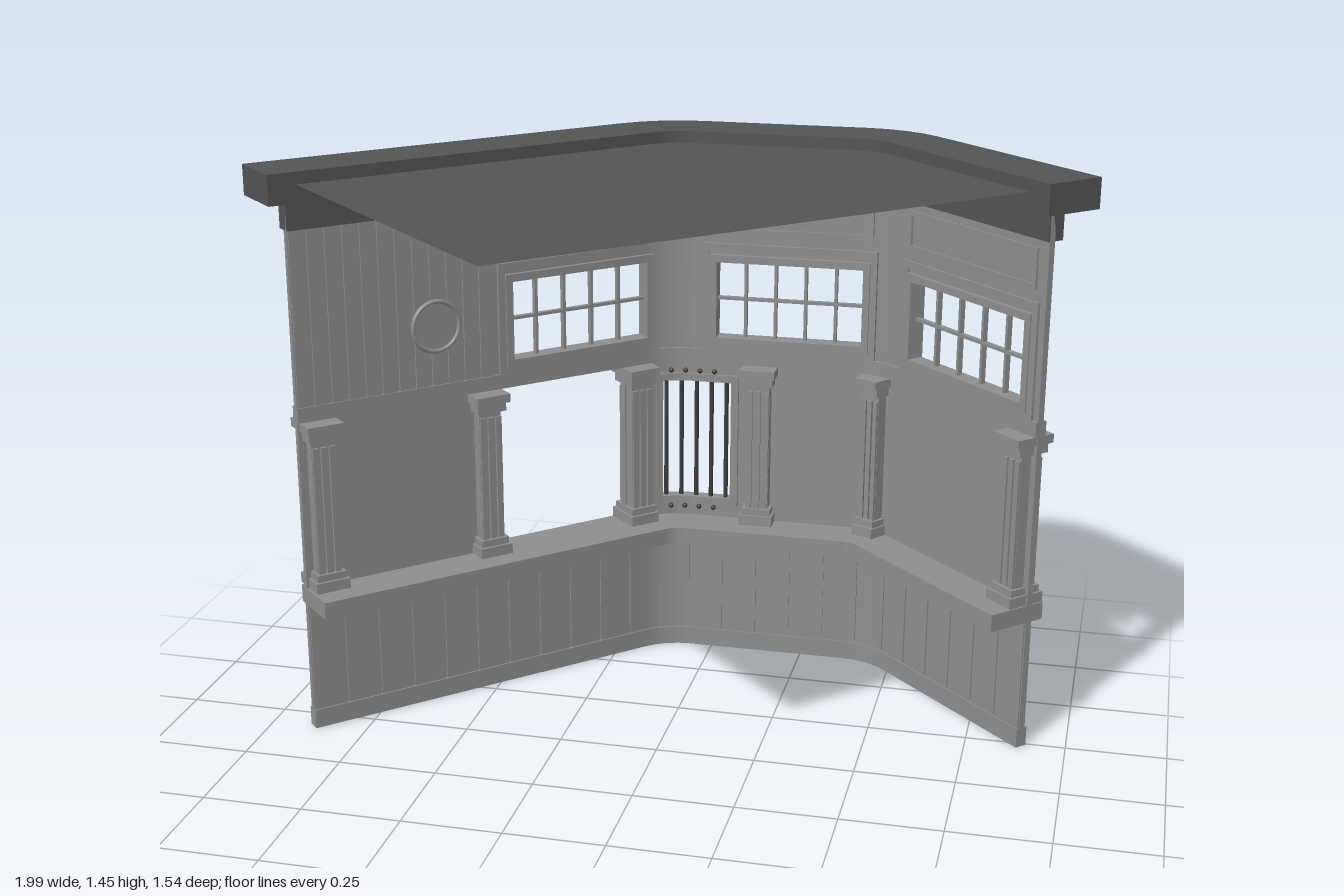
import * as THREE from 'three';
import { mergeGeometries } from 'three/addons/utils/BufferGeometryUtils.js';

// Plan: long wing, rounded corner, back wall, rounded corner, short wing.
// s runs along the wall, r is the distance outward from the corner centres.
const CX0 = -0.06, CX1 = 0.37, CZ = -0.497;
const ARC = 0.18 * Math.PI / 4, BACK = CX1 - CX0;
const S0 = -ARC - 0.99, S1 = BACK + ARC + 0.553;

function at(s, r) {
  let x, z = CZ, a = 0;
  if (s < 0) {
    const t = Math.max(0, -ARC - s) * Math.SQRT1_2;
    a = -Math.min(1, -s / ARC) * Math.PI / 4;
    x = CX0 - t;
    z += t;
  } else if (s > BACK) {
    const t = Math.max(0, s - BACK - ARC) * Math.SQRT1_2;
    a = Math.min(1, (s - BACK) / ARC) * Math.PI / 4;
    x = CX1 + t;
    z += t;
  } else x = CX0 + s;
  const n = [Math.sin(a), 0, -Math.cos(a)];
  return { p: [x + n[0] * r, z + n[2] * r], n, a };
}

// Solid band that follows the wall between two stations, radii and heights
function band(s0, s1, r0, r1, y0, y1) {
  const stops = [s0, s1];
  for (let i = 0; i <= 4; i++) {
    for (const k of [-ARC * i / 4, BACK + ARC * i / 4]) if (k > s0 + 1e-4 && k < s1 - 1e-4) stops.push(k);
  }
  stops.sort((a, b) => a - b);
  const pos = [], nor = [];
  const quad = (corners, normals) => {
    for (const i of [0, 1, 2, 0, 2, 3]) { pos.push(...corners[i]); nor.push(...normals[i]); }
  };
  const v = (s, r, y) => { const { p } = at(s, r); return [p[0], y, p[1]]; };
  const same = n => [n, n, n, n];
  for (let i = 0; i + 1 < stops.length; i++) {
    const a = stops[i], b = stops[i + 1], na = at(a, 0).n, nb = at(b, 0).n;
    const ia = na.map(k => -k), ib = nb.map(k => -k);
    quad([v(b, r1, y0), v(a, r1, y0), v(a, r1, y1), v(b, r1, y1)], [nb, na, na, nb]);
    quad([v(a, r0, y0), v(b, r0, y0), v(b, r0, y1), v(a, r0, y1)], [ia, ib, ib, ia]);
    quad([v(a, r0, y1), v(b, r0, y1), v(b, r1, y1), v(a, r1, y1)], same([0, 1, 0]));
    quad([v(a, r1, y0), v(b, r1, y0), v(b, r0, y0), v(a, r0, y0)], same([0, -1, 0]));
  }
  const n0 = at(s0, 0).n, n1 = at(s1, 0).n;
  quad([v(s0, r1, y0), v(s0, r0, y0), v(s0, r0, y1), v(s0, r1, y1)], same([n0[2], 0, -n0[0]]));
  quad([v(s1, r0, y0), v(s1, r1, y0), v(s1, r1, y1), v(s1, r0, y1)], same([-n1[2], 0, n1[0]]));
  const g = new THREE.BufferGeometry();
  g.setAttribute('position', new THREE.Float32BufferAttribute(pos, 3));
  g.setAttribute('normal', new THREE.Float32BufferAttribute(nor, 3));
  return g;
}

// Rectangular rim around an opening
const rim = (a, b, y0, y1, w, r0, r1) => [
  band(a, b, r0, r1, y0, y0 + w), band(a, b, r0, r1, y1 - w, y1),
  band(a, a + w, r0, r1, y0 + w, y1 - w), band(b - w, b, r0, r1, y0 + w, y1 - w),
];

// Wall storey with holes given as [s0, s1, y0, y1] in order
function storey(y0, y1, holes) {
  const out = [];
  let s = S0;
  for (const [a, b, h0, h1] of holes) {
    out.push(band(s, a, 0.174, 0.19, y0, y1));
    if (h0 > y0) out.push(band(a, b, 0.174, 0.19, y0, h0));
    if (h1 < y1) out.push(band(a, b, 0.174, 0.19, h1, y1));
    s = b;
  }
  out.push(band(s, S1, 0.174, 0.19, y0, y1));
  return out;
}

// Row of upright boards with narrow grooves between them
function boards(s0, s1, count, y0, y1) {
  const w = (s1 - s0) / count;
  return Array.from({ length: count }, (_, i) =>
    band(s0 + i * w + 0.003, s0 + (i + 1) * w - 0.003, 0.17, 0.194, y0, y1));
}

export function createModel() {
  const wallGrey = new THREE.MeshStandardMaterial({ color: 0x8e8e8e });
  wallGrey.name = 'wall grey';
  const roofGrey = new THREE.MeshStandardMaterial({ color: 0x545454, side: THREE.DoubleSide });
  roofGrey.name = 'roof grey';
  const ironGrey = new THREE.MeshStandardMaterial({ color: 0x3c3c3c });
  ironGrey.name = 'iron grey';

  const model = new THREE.Group();
  model.name = 'cornerBooth';
  const add = (name, geos, mat = wallGrey) => {
    const mesh = new THREE.Mesh(mergeGeometries(geos), mat);
    mesh.name = name;
    model.add(mesh);
  };

  // Lower wall, plinth and counter
  add('lowerWall', storey(0, 0.34, []));
  add('lowerBoards', boards(S0, S1, 24, 0.045, 0.34));
  add('plinth', [band(S0, S1, 0.166, 0.198, 0, 0.05)]);
  add('counter', [band(S0, -0.64, 0.062, 0.208, 0.34, 0.385), band(-0.64, S1, 0.062, 0.225, 0.34, 0.385)]);

  // Middle wall with the serving hatch and the barred hatch
  const hatch = [-0.58, -0.2, 0.385, 0.82], barred = [-0.085, 0.107, 0.44, 0.77];
  add('middleWall', storey(0.385, 0.82, [hatch, barred]));
  add('barredHatchFrame', rim(-0.105, 0.127, 0.42, 0.79, 0.02, 0.165, 0.2));
  const iron = [];
  for (let i = 0; i < 5; i++) {
    const { p } = at(-0.072 + i * 0.041, 0.182);
    iron.push(new THREE.CylinderGeometry(0.006, 0.006, 0.34, 8).translate(p[0], 0.605, p[1]));
  }
  add('hatchBars', iron, ironGrey);
  const bolts = [];
  for (let i = 0; i < 4; i++) for (const y of [0.41, 0.797]) for (const r of [0.172, 0.192]) {
    const { p } = at(-0.06 + i * 0.04, r);
    bolts.push(new THREE.SphereGeometry(0.007, 8, 6).translate(p[0], y, p[1]));
  }
  add('hatchBolts', bolts, ironGrey);

  // Pilasters with base, fluted shaft and stepped capital
  for (const s of [-1.08, -0.62, -0.165, 0.185, 0.505, 1.075]) {
    const parts = [
      band(s - 0.045, s + 0.045, 0.122, 0.226, 0.385, 0.412),
      band(s - 0.039, s + 0.039, 0.13, 0.218, 0.412, 0.43),
      band(s - 0.031, s + 0.031, 0.145, 0.205, 0.43, 0.785),
      band(s - 0.04, s + 0.04, 0.13, 0.218, 0.775, 0.8),
      band(s - 0.047, s + 0.047, 0.118, 0.228, 0.8, 0.822),
    ];
    for (const k of [-1, 0, 1]) parts.push(band(s + k * 0.022 - 0.008, s + k * 0.022 + 0.008, 0.138, 0.211, 0.43, 0.76));
    add('pilaster', parts);
  }

  // Upper wall with three windows, each with a panel above
  const windows = [[-0.54, -0.13], [0.06, 0.46], [0.625, 1.07]];
  add('upperWall', storey(0.82, 1.375, windows.map(([a, b]) => [a, b, 0.885, 1.11])));
  add('stringCourse', [band(S0, S1, 0.167, 0.199, 0.822, 0.86)]);
  for (const [a, b] of windows) {
    add('windowFrame', [
      ...rim(a - 0.035, b + 0.035, 0.86, 1.15, 0.02, 0.167, 0.2),
      ...rim(a - 0.015, b + 0.015, 0.875, 1.12, 0.02, 0.163, 0.21),
    ]);
    const muntins = [band(a, b, 0.183, 0.197, 0.995, 1.003)];
    for (let i = 1; i < 5; i++) {
      const s = a + (b - a) * i / 5;
      muntins.push(band(s - 0.004, s + 0.004, 0.183, 0.197, 0.885, 1.11));
    }
    add('windowMuntins', muntins);
    add('panelAboveWindow', rim(a - 0.02, b + 0.02, 1.18, 1.28, 0.012, 0.168, 0.2));
  }

  // Boarded upper end of the long wing with a round plaque
  add('upperBoards', boards(S0, -0.585, 12, 0.86, 1.3));
  const plaqueAt = at(-0.753, 0.182);
  const place = g => g.rotateY(-plaqueAt.a).translate(plaqueAt.p[0], 1.015, plaqueAt.p[1]);
  const plaque = [place(new THREE.CylinderGeometry(0.066, 0.066, 0.036, 32).rotateX(Math.PI / 2))];
  for (const z of [-0.018, 0.018]) plaque.push(place(new THREE.TorusGeometry(0.064, 0.006, 8, 32).translate(0, 0, z)));
  add('roundPlaque', plaque);

  // Frieze, cornice and flat roof sheet
  add('frieze', [band(S0, S1, 0.17, 0.214, 1.3, 1.375)], roofGrey);
  add('cornice', [band(S0 - 0.06, S1 + 0.047, 0.123, 0.278, 1.375, 1.45)], roofGrey);
  const edge = [[-0.18, 0.77]];
  for (const s of [S0 + 0.01, -ARC, -ARC / 2, 0, BACK, BACK + ARC / 2, BACK + ARC, S1 - 0.02]) edge.push(at(s, 0.18).p);
  const sheet = new THREE.Shape(edge.map(([x, z]) => new THREE.Vector2(x, -z)));
  add('roofSheet', [new THREE.ShapeGeometry(sheet).rotateX(-Math.PI / 2).translate(0, 1.42, 0)], roofGrey);
  return model;
}
